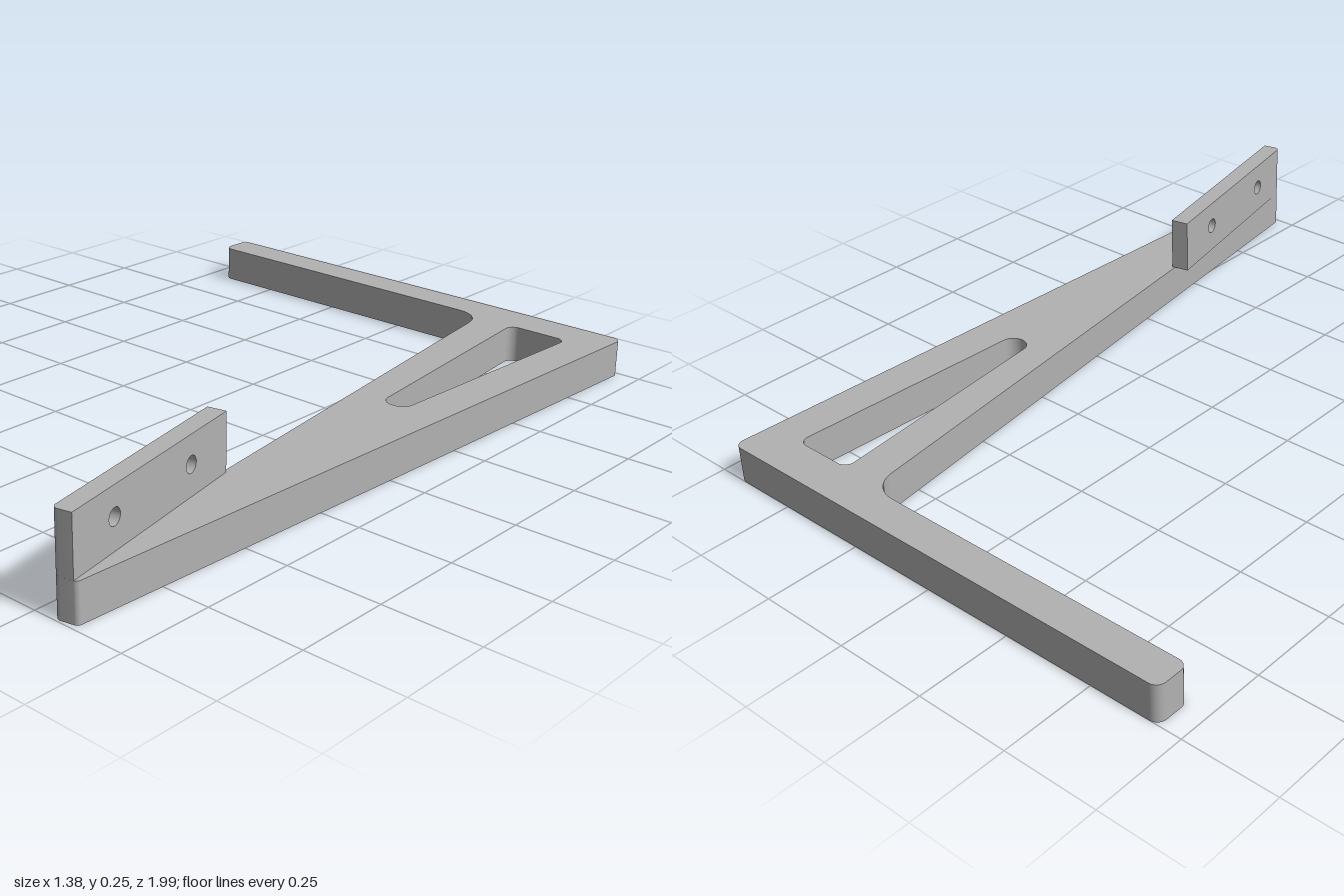
import * as THREE from 'three';
import { toCreasedNormals } from 'three/addons/utils/BufferGeometryUtils.js';

const PLATE = 0.1, TOP = 0.25, THICK = 0.05;

// Closed polygon of [x, z, radius] corners, each rounded by a true arc
function roundedOutline(path, corners) {
  const n = corners.length;
  const at = (i) => new THREE.Vector2(corners[(i + n) % n][0], -corners[(i + n) % n][1]);
  for (let i = 0; i < n; i++) {
    const p = at(i), r = corners[i][2] || 0;
    if (!r) {
      if (i === 0) path.moveTo(p.x, p.y);
      else path.lineTo(p.x, p.y);
      continue;
    }
    const a = at(i - 1).sub(p).normalize(), b = at(i + 1).sub(p).normalize();
    const half = Math.acos(a.dot(b)) / 2;
    const centre = a.clone().add(b).normalize().multiplyScalar(r / Math.sin(half)).add(p);
    const angle = (d) => {
      const q = d.clone().multiplyScalar(r / Math.tan(half)).add(p).sub(centre);
      return Math.atan2(q.y, q.x);
    };
    path.absarc(centre.x, centre.y, r, angle(a), angle(b), a.cross(b) > 0);
  }
  path.closePath();
  return path;
}

function extrude(shape, depth) {
  const g = new THREE.ExtrudeGeometry(shape, { depth, bevelEnabled: false, curveSegments: 24 });
  return toCreasedNormals(g, 0.085);
}

// Extrude a plan outline (x, z) upwards
const extrudeUp = (shape, height) => extrude(shape, height).rotateX(-Math.PI / 2);

export function createModel() {
  const model = new THREE.Group();
  model.name = 'bracket';
  const grey = new THREE.MeshStandardMaterial({ color: 0xb2b2b2 });
  grey.name = 'grey';

  const add = (parent, geometry, name) => {
    const mesh = new THREE.Mesh(geometry, grey);
    mesh.name = name;
    parent.add(mesh);
    return mesh;
  };

  // Flat L-shaped plate: thin back arm and tapering front arm with a slot
  const outline = roundedOutline(new THREE.Shape(), [
    [0.43, 0.405, 0],
    [0.556, 0.997, 0.015],
    [0.613, 0.985, 0.012],
    [0.688, -1, 0.025],
    [-0.69, -1, 0.025],
    [-0.69, -0.905, 0.025],
    [0.291, -0.905, 0.08],
  ]);
  outline.holes.push(roundedOutline(new THREE.Path(), [
    [0.40, -0.89, 0.026],
    [0.577, -0.89, 0.026],
    [0.547, -0.188, 0.036],
    [0.477, -0.188, 0.036],
  ]));
  add(model, extrudeUp(outline, PLATE), 'basePlate');

  // Upright flange along the slanted outer edge of the front arm
  const dx = 0.126, dz = 0.592, length = Math.hypot(dx, dz);
  const flange = new THREE.Group();
  flange.name = 'flange';
  flange.rotation.y = Math.atan2(-dz, dx);
  flange.position.set(0.43 + THICK * dz / length, PLATE, 0.405 - THICK * dx / length);
  model.add(flange);

  // Wall with two screw holes
  const wallLength = length - 0.02, height = TOP - PLATE;
  const wall = new THREE.Shape();
  wall.moveTo(0, 0).lineTo(wallLength, 0).lineTo(wallLength, height).lineTo(0, height).closePath();
  for (const s of [0.153, 0.455]) {
    wall.holes.push(new THREE.Path().absarc(s, 0.078, 0.021, 0, Math.PI * 2, true));
  }
  add(flange, extrude(wall, THICK), 'flangeWall');

  // Front end of the wall, with its outer corner rounded
  const tip = roundedOutline(new THREE.Shape(), [
    [wallLength, 0, 0],
    [wallLength, THICK, 0],
    [length, THICK, 0.015],
    [length, 0, 0],
  ]);
  add(flange, extrudeUp(tip, height), 'flangeTip');

  return model;
}
